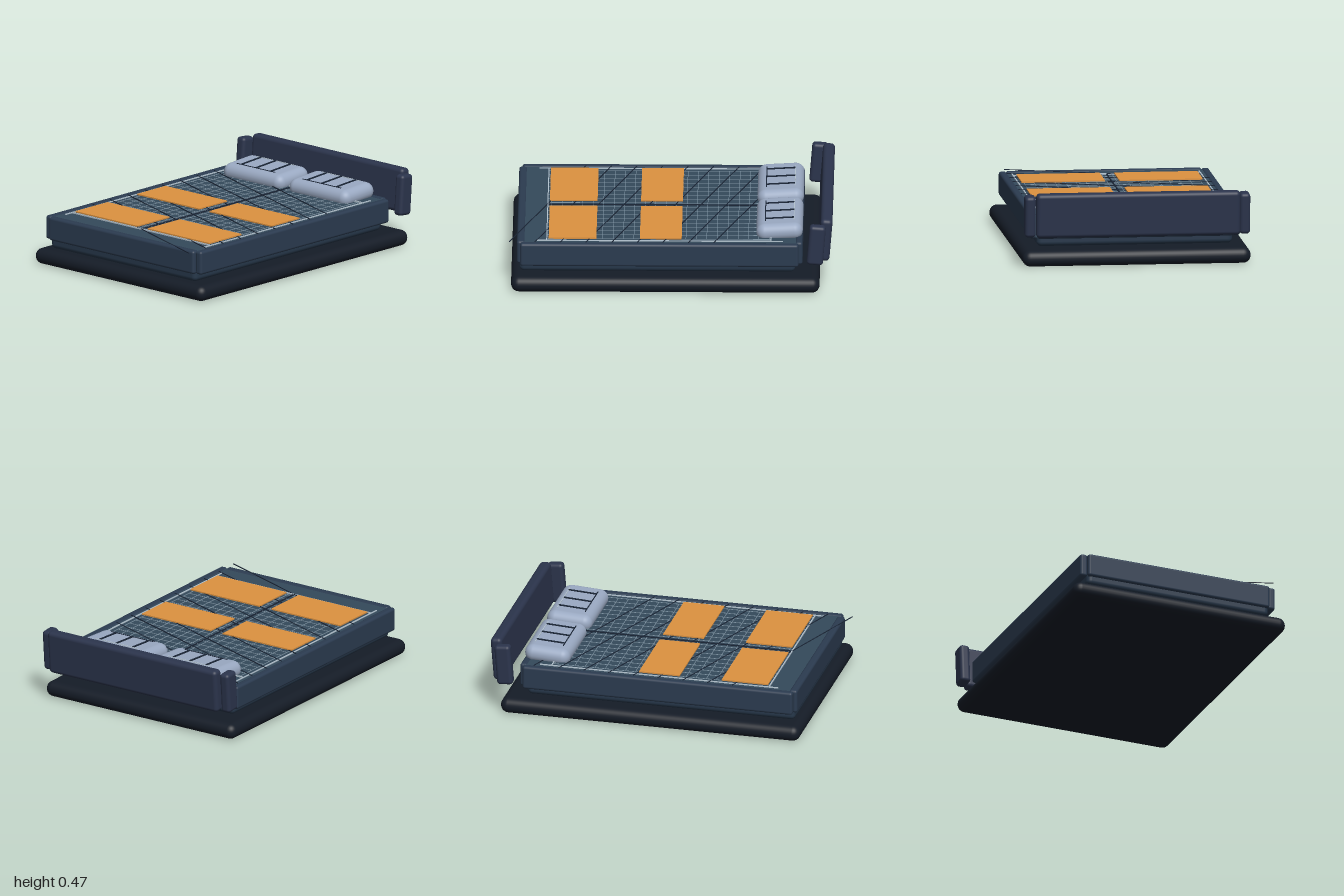
import * as THREE from 'three';
import { RoundedBoxGeometry } from 'three/addons/geometries/RoundedBoxGeometry.js';

const mat = (color) => new THREE.MeshStandardMaterial({ color });
const MAT = {
  base: mat(0x151c27), plinth: mat(0x26374a), rail: mat(0x2b3b50), deck: mat(0x34495b),
  head: mat(0x2b344c), pillow: mat(0x9aa9c2), panel: mat(0xdd9240),
  light: mat(0xb4c4d0), grid: mat(0x7f95a5), dark: mat(0x1a2536),
};

export function createModel() {
  const bed = new THREE.Group();
  bed.name = 'bed';

  // Boxes are given by their limits on each axis; r > 0 rounds the edges
  function box(name, material, [x0, x1], [y0, y1], [z0, z1], r = 0, parent = bed) {
    const size = [x1 - x0, y1 - y0, z1 - z0];
    const geometry = r ? new RoundedBoxGeometry(...size, 4, r) : new THREE.BoxGeometry(...size);
    const mesh = new THREE.Mesh(geometry, material);
    mesh.name = name;
    mesh.position.set((x0 + x1) / 2, (y0 + y1) / 2, (z0 + z1) / 2);
    parent.add(mesh);
    return mesh;
  }
  const around = (c, w) => [c - w / 2, c + w / 2];

  // Floor base and recessed plinth
  box('base', MAT.base, [-0.705, 0.705], [0, 0.098], [-0.92, 0.975], 0.048);
  box('plinth', MAT.plinth, [-0.605, 0.605], [0.105, 0.2], [-0.77, 0.925], 0.03);

  // Deck framed by four rails
  box('deck', MAT.deck, [-0.615, 0.615], [0.165, 0.3], [-0.79, 0.91]);
  box('frontRail', MAT.rail, [-0.605, 0.605], [0.158, 0.306], [0.89, 0.94], 0.016);
  box('backRail', MAT.rail, [-0.605, 0.605], [0.158, 0.306], [-0.815, -0.77], 0.016);
  for (const s of [-1, 1])
    box('sideRail', MAT.rail, around(s * 0.626, 0.048), [0.158, 0.306], [-0.79, 0.92], 0.016);

  // Headboard and its wings, leaning back
  box('headboard', MAT.head, [-0.63, 0.63], [0.19, 0.465], [-0.99, -0.917], 0.025).rotation.x = -0.08;
  for (const s of [-1, 1])
    box('headboardWing', MAT.head, around(s * 0.663, 0.066), [0.19, 0.446], [-0.95, -0.85], 0.022).rotation.x = -0.08;

  // Fine stitched grid on the deck
  const grid = new THREE.Group();
  grid.name = 'grid';
  bed.add(grid);
  for (let i = 0; i < 18; i++)
    box('gridLine', MAT.grid, around(-0.544 + i * 0.064, 0.003), [0.299, 0.303], [-0.62, 0.755], 0, grid);
  for (let i = 0; i < 22; i++)
    box('gridLine', MAT.grid, [-0.545, 0.545], [0.299, 0.303], around(-0.61 + i * 0.064, 0.003), 0, grid);

  // Bright border lines and centre seam
  for (const z of [-0.62, 0.757])
    box('crossLine', MAT.light, [-0.575, 0.575], [0.3, 0.308], around(z, 0.006));
  for (const s of [-1, 1])
    box('edgeLine', MAT.light, around(s * 0.578, 0.007), [0.3, 0.306], [-0.695, 0.815]);
  box('centreSeam', MAT.dark, around(0, 0.008), [0.299, 0.306], [-0.62, 0.755]);

  // Diagonal seams
  const slope = Math.atan2(0.455, 1.22);
  for (let i = 0; i < 9; i++) {
    const z = -0.725 + i * 0.157 + 0.2275;
    box('diagonalSeam', MAT.dark, around(0, 1.3), [0.304, 0.308], around(z, 0.005)).rotation.y = -slope;
  }

  // Four flat coloured panels
  for (const s of [-1, 1])
    for (const z of [[-0.072, 0.185], [0.452, 0.745]])
      box('panel', MAT.panel, around(s * 0.302, 0.515), [0.306, 0.314], z);

  // Pillows with three straps and end seams
  for (const s of [-1, 1]) {
    const pillow = new THREE.Group();
    pillow.name = 'pillow';
    pillow.position.set(s * 0.274, 0.328, -0.672);
    pillow.rotation.x = 0.06;
    bed.add(pillow);
    box('cushion', MAT.pillow, [-0.248, 0.248], [-0.055, 0.055], [-0.143, 0.143], 0.054, pillow);
    for (const x of [-0.122, 0, 0.122])
      box('strap', MAT.dark, around(x, 0.013), [0.05, 0.06], [-0.092, 0.085], 0, pillow);
    box('backSeam', MAT.light, [-0.16, 0.16], [0.052, 0.058], around(-0.092, 0.005), 0, pillow);
    box('frontSeam', MAT.dark, [-0.16, 0.16], [0.052, 0.058], around(0.085, 0.006), 0, pillow);
  }
  return bed;
}
